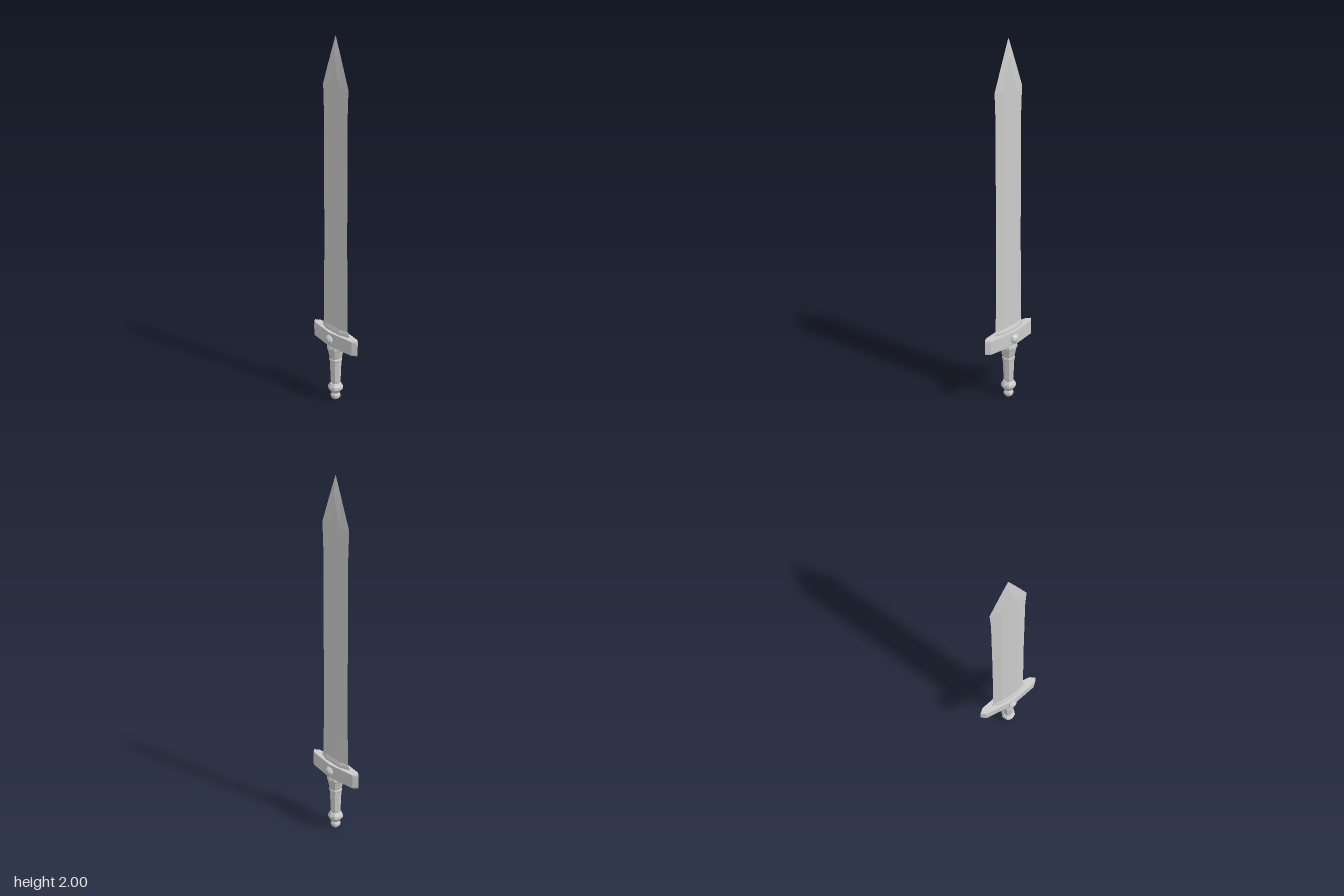
import * as THREE from 'three';

const material = new THREE.MeshStandardMaterial({ color: 0xcccccc, flatShading: true });

// Stacks horizontal rings of [x, y, z] points (counter-clockwise from above) into a closed solid.
function loft(rings) {
  const n = rings[0].length;
  const positions = rings.flat(2);
  const index = [];
  for (let r = 0; r < rings.length - 1; r++) {
    for (let i = 0; i < n; i++) {
      const a = r * n + i, b = r * n + (i + 1) % n;
      index.push(a, b, b + n, a, b + n, a + n);
    }
  }
  const top = (rings.length - 1) * n;
  for (let i = 1; i < n - 1; i++) {
    index.push(0, i + 1, i);
    index.push(top, top + i, top + i + 1);
  }
  const geometry = new THREE.BufferGeometry();
  geometry.setAttribute('position', new THREE.Float32BufferAttribute(positions, 3));
  geometry.setIndex(index);
  const flat = geometry.toNonIndexed();
  flat.computeVertexNormals();
  return flat;
}

// Diamond-like section: sharp edges at +-w, flats between +-f at depth t.
const bladeRing = (y, w, f, t) => [
  [w, y, 0], [f, y, -t], [0, y, -t], [-f, y, -t],
  [-w, y, 0], [-f, y, t], [0, y, t], [f, y, t],
];

const guardRing = (y, s) => [
  [0.19 * s, y, 0], [0.165 * s, y, -0.021 * s], [0, y, -0.043 * s], [-0.165 * s, y, -0.021 * s],
  [-0.19 * s, y, 0], [-0.165 * s, y, 0.021 * s], [0, y, 0.043 * s], [0.165 * s, y, 0.021 * s],
];

function lathe(points, sides) {
  const profile = points.map(([r, y]) => new THREE.Vector2(r, y));
  return new THREE.LatheGeometry(profile, sides);
}

export function createModel() {
  const group = new THREE.Group();
  const add = (name, geometry) => {
    const mesh = new THREE.Mesh(geometry, material);
    mesh.name = name;
    group.add(mesh);
    return mesh;
  };

  // Blade: slight waist, flared shoulders, faceted point
  add('blade', loft([
    bladeRing(0.4, 0.105, 0.052, 0.014),
    bladeRing(0.58, 0.101, 0.05, 0.013),
    bladeRing(1.0, 0.098, 0.048, 0.013),
    bladeRing(1.6, 0.098, 0.048, 0.012),
    bladeRing(1.74, 0.104, 0.046, 0.012),
    bladeRing(1.9, 0.041, 0.001, 0.012),
    bladeRing(2.0, 0, 0, 0),
  ]));

  // Collar where the blade meets the guard
  add('bladeCollar', loft([
    bladeRing(0.39, 0.115, 0.056, 0.021),
    bladeRing(0.415, 0.115, 0.056, 0.021),
    bladeRing(0.432, 0.106, 0.053, 0.015),
  ]));

  // Crossguard
  add('guard', loft([
    guardRing(0.325, 0.985),
    guardRing(0.335, 1),
    guardRing(0.395, 1),
    guardRing(0.405, 0.985),
  ]));

  // Round studs on both faces of the guard
  for (const side of [1, -1]) {
    const stud = add(side > 0 ? 'frontStud' : 'backStud', lathe([
      [0.027, 0.03], [0.027, 0.048], [0.021, 0.054], [0.013, 0.06], [0, 0.061],
    ], 8));
    stud.position.y = 0.365;
    stud.rotation.x = side * Math.PI / 2;
  }

  // Grip, widening towards the guard
  add('grip', lathe([
    [0.024, 0.09], [0.027, 0.11], [0.032, 0.228], [0.036, 0.232], [0.036, 0.242],
    [0.033, 0.246], [0.044, 0.295], [0.048, 0.302], [0.048, 0.315], [0.043, 0.33], [0, 0.33],
  ], 8));

  // Pommel with a bulge above a small knob
  add('pommel', lathe([
    [0, 0], [0.018, 0.001], [0.027, 0.012], [0.028, 0.025], [0.021, 0.038],
    [0.028, 0.046], [0.041, 0.062], [0.041, 0.078], [0.03, 0.096], [0, 0.1],
  ], 8));

  return group;
}
